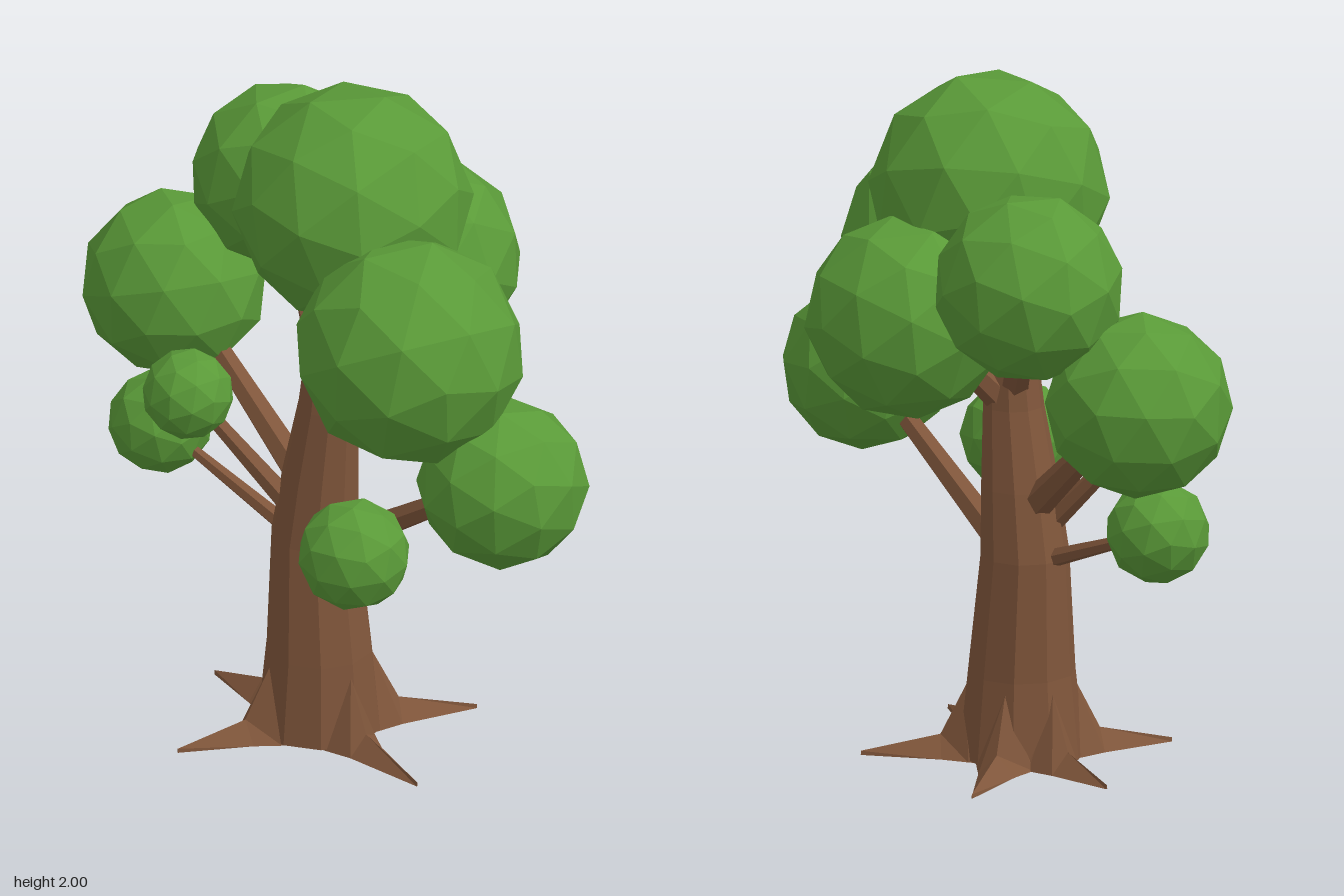
import * as THREE from 'three';

const V = (x, y, z) => new THREE.Vector3(x, y, z);

// Skins a list of closed cross-sections and caps both ends, unshared corners for flat facets
function loft(sections) {
  const pos = [];
  const tri = (...pts) => pts.forEach((p) => pos.push(p.x, p.y, p.z));
  const n = sections[0].length;
  for (let i = 0; i < sections.length - 1; i++) {
    const a = sections[i], b = sections[i + 1];
    for (let j = 0; j < n; j++) {
      const k = (j + 1) % n;
      tri(a[j], b[j], a[k]);
      tri(a[k], b[j], b[k]);
    }
  }
  const first = sections[0], last = sections[sections.length - 1];
  for (let j = 1; j < n - 1; j++) {
    tri(first[0], first[j], first[j + 1]);
    tri(last[0], last[j + 1], last[j]);
  }
  const g = new THREE.BufferGeometry();
  g.setAttribute('position', new THREE.Float32BufferAttribute(pos, 3));
  g.computeVertexNormals();
  return g;
}

export function createModel() {
  const tree = new THREE.Group();
  tree.name = 'tree';
  const bark = new THREE.MeshStandardMaterial({ color: 0x80563b, flatShading: true });
  bark.name = 'bark brown';
  const leaf = new THREE.MeshStandardMaterial({ color: 0x5a9a38, flatShading: true });
  leaf.name = 'leaf green';

  const add = (geometry, material, name) => {
    const mesh = new THREE.Mesh(geometry, material);
    mesh.name = name;
    tree.add(mesh);
    return mesh;
  };

  // Trunk: rings of [x, y, z, radius], leaning slightly
  const rings = [
    [-0.03, 0.005, 0.12, 0.18], [-0.03, 0.25, 0.12, 0.155], [-0.05, 0.6, 0.12, 0.128],
    [-0.03, 0.8, 0.115, 0.112], [0, 1.03, 0.11, 0.088], [0.02, 1.45, 0.1, 0.055],
  ];
  const sides = 10;
  add(loft(rings.map(([x, y, z, r]) => Array.from({ length: sides }, (_, j) => {
    const a = (j / sides) * Math.PI * 2;
    return V(x + r * Math.cos(a), y, z + r * Math.sin(a));
  }))), bark, 'trunk');

  // Roots: pointed ridges fanning out from the trunk, given by their tips [x, z]
  const base = V(-0.03, 0, 0.12);
  const tips = [[-0.13, 0.55], [0.45, 0.14], [0.17, -0.29], [-0.35, -0.21], [-0.45, 0.17]];
  tips.forEach(([x, z]) => {
    const out = V(x, 0, z).sub(base);
    const length = out.length();
    out.normalize();
    const side = V(-out.z, 0, out.x);
    const at = (r, y, w) => base.clone().addScaledVector(out, r).addScaledVector(side, w).setY(y);
    const section = (r, h, w) => [at(r, 0, w), at(r, h, 0), at(r, 0, -w)];
    add(loft([
      section(0.11, 0.3, 0.1), section(0.155, 0.21, 0.085),
      section(0.23, 0.06, 0.055), section(length, 0.012, 0.002),
    ]), bark, 'root');
  });

  // Branches: [start, end, start radius, end radius]
  const branches = [
    [[-0.06, 0.57, 0.14], [-0.5, 0.75, 0.25], 0.03, 0.016],
    [[0.0, 0.58, 0.15], [0.34, 0.76, 0.31], 0.042, 0.026],
    [[-0.07, 0.66, 0.16], [-0.29, 0.95, 0.32], 0.036, 0.022],
    [[-0.06, 0.72, 0.12], [-0.45, 1.06, 0.17], 0.05, 0.032],
    [[0.0, 0.58, 0.1], [0.5, 0.91, 0.0], 0.045, 0.03],
    [[0.0, 1.06, 0.11], [-0.31, 1.39, -0.01], 0.045, 0.032],
    [[0.02, 0.97, 0.1], [0.28, 1.25, 0.13], 0.042, 0.03],
    [[0.01, 1.02, 0.1], [-0.05, 1.28, -0.16], 0.045, 0.03],
  ];
  branches.forEach(([a, b, r0, r1]) => {
    const start = V(...a), dir = V(...b).sub(start);
    const mesh = add(new THREE.CylinderGeometry(r1, r0, dir.length(), 6), bark, 'branch');
    mesh.position.copy(start).addScaledVector(dir, 0.5);
    mesh.quaternion.setFromUnitVectors(V(0, 1, 0), dir.clone().normalize());
  });

  // Foliage: faceted balls [x, y, z, radius], each turned differently
  const balls = [
    [0.035, 1.665, 0.05, 0.345], [0.435, 1.39, 0.155, 0.33], [-0.44, 1.52, -0.075, 0.272],
    [-0.625, 1.185, 0.18, 0.268], [0.64, 0.995, -0.02, 0.247], [-0.06, 1.36, -0.265, 0.293],
    [-0.58, 0.785, 0.265, 0.15], [-0.335, 1.0, 0.355, 0.131], [0.415, 0.79, 0.34, 0.162],
  ];
  balls.forEach(([x, y, z, r], i) => {
    const mesh = add(new THREE.IcosahedronGeometry(r, 1), leaf, 'foliage');
    mesh.position.set(x, y, z);
    mesh.rotation.set(0.3 + i * 1.3, i * 2.1, 0.2 + i * 0.7);
  });

  return tree;
}
